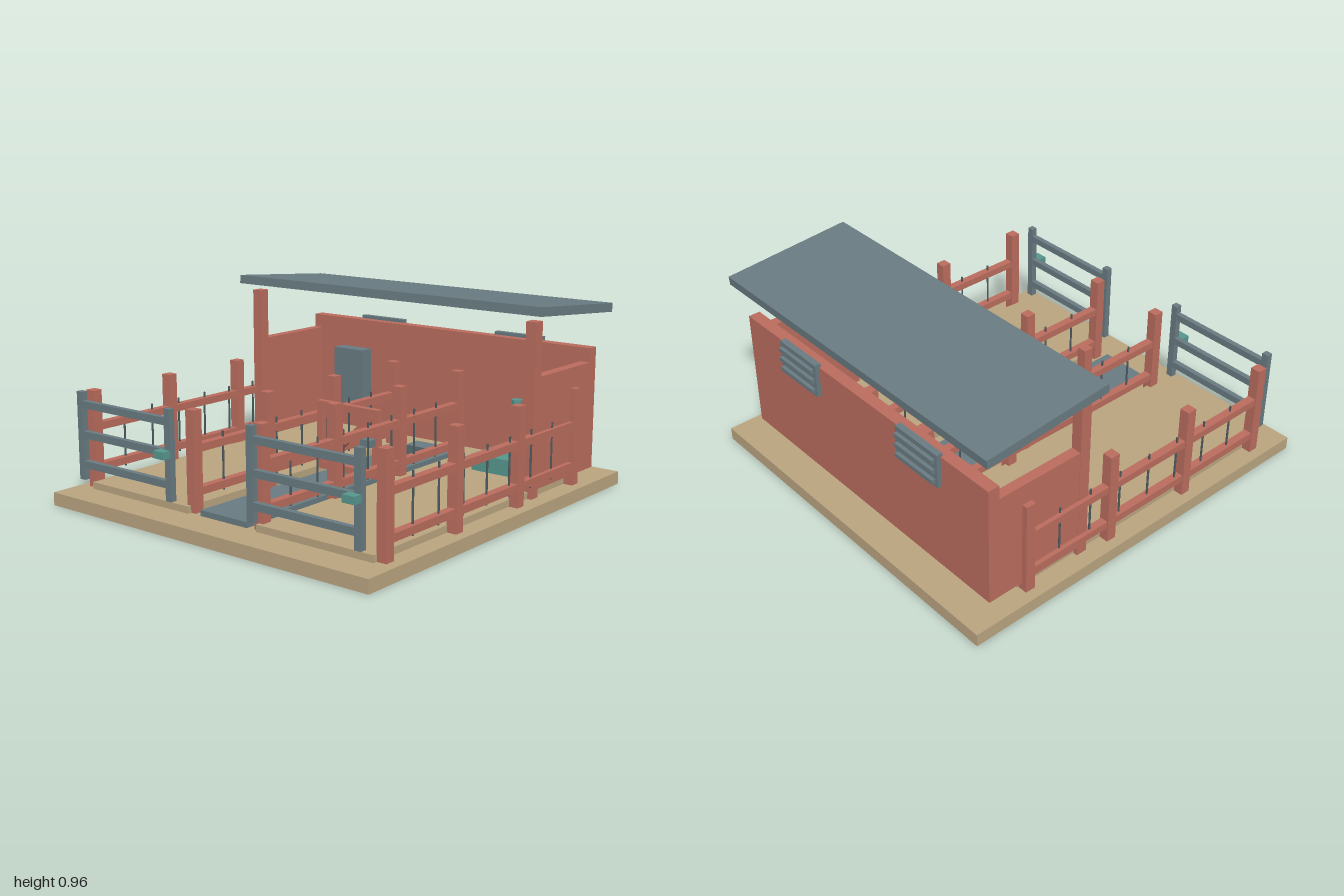
import * as THREE from 'three';

const mat = (color) => new THREE.MeshStandardMaterial({ color, flatShading: true });
const RED = mat(0xb96c5d), SLATE = mat(0x687a80), TAN = mat(0xb9a37f), TEAL = mat(0x55968c), DARK = mat(0x4a585c);

// Box given by its min and max on each axis
function box(parent, name, material, [x0, x1], [y0, y1], [z0, z1]) {
  const mesh = new THREE.Mesh(new THREE.BoxGeometry(x1 - x0, y1 - y0, z1 - z0), material);
  mesh.position.set((x0 + x1) / 2, (y0 + y1) / 2, (z0 + z1) / 2);
  mesh.name = name;
  parent.add(mesh);
  return mesh;
}

function group(parent, name) {
  const g = new THREE.Group();
  g.name = name;
  parent.add(g);
  return g;
}

function rod(parent, name, material, radius, x, [y0, y1], z, sides) {
  const mesh = new THREE.Mesh(new THREE.CylinderGeometry(radius, radius, y1 - y0, sides), material);
  mesh.position.set(x, (y0 + y1) / 2, z);
  mesh.name = name;
  parent.add(mesh);
}

// Fence running front to back: posts, two rails, thin upright bars
function addFence(parent, x) {
  const g = group(parent, 'fence');
  for (const z of [0.797, 0.312, -0.173, -0.658]) {
    box(g, 'fencePost', RED, [x - 0.025, x + 0.025], [0.06, 0.532], [z - 0.025, z + 0.025]);
  }
  for (const y of [0.157, 0.355]) {
    box(g, 'fenceRail', RED, [x - 0.02, x + 0.02], [y - 0.018, y + 0.018], [-0.658, 0.797]);
  }
  for (let i = 0; i < 7; i++) rod(g, 'fenceBar', DARK, 0.005, x, [0.125, 0.4], 0.615 - i * 0.181, 8);
}

// Front pen gate with three rails and a latch at its right-hand end
function addPenGate(parent, x0, x1) {
  const g = group(parent, 'penGate');
  for (const x of [x0, x1 - 0.034]) {
    box(g, 'gateStile', SLATE, [x, x + 0.034], [0.128, 0.547], [0.887, 0.918]);
  }
  for (const y of [0.203, 0.345, 0.488]) {
    box(g, 'gateRail', SLATE, [x0 + 0.02, x1 - 0.02], [y - 0.017, y + 0.017], [0.889, 0.916]);
  }
  box(g, 'gateLatch', TEAL, [x1 - 0.063, x1], [0.328, 0.362], [0.916, 0.96]);
}

// Narrow braced gate across the walkway
function addWalkwayGate(parent) {
  const g = group(parent, 'walkwayGate');
  const z = [-0.056, -0.022];
  for (const s of [-1, 1]) box(g, 'gateStile', RED, [s * 0.17 - 0.017, s * 0.17 + 0.017], [0.098, 0.435], z);
  for (const y of [0.098, 0.401]) box(g, 'gateRail', RED, [-0.18, 0.18], [y, y + 0.034], z);
  const brace = box(g, 'gateBrace', RED, [-0.2, 0.2], [0.252, 0.282], [-0.052, -0.026]);
  brace.rotation.z = Math.atan2(0.27, 0.306);
  brace.scale.x = 0.98;
  box(g, 'gateLatch', SLATE, [0.115, 0.175], [0.26, 0.296], [-0.024, 0.021]);
}

// Louvred vent on the outside of the back wall
function addVent(parent, x) {
  const g = group(parent, 'vent');
  box(g, 'ventPanel', SLATE, [x - 0.138, x + 0.138], [0.547, 0.716], [-0.886, -0.855]);
  for (const y of [0.578, 0.63, 0.682]) {
    box(g, 'ventSlat', SLATE, [x - 0.125, x + 0.125], [y - 0.01, y + 0.01], [-0.904, -0.88]);
  }
}

export function createModel() {
  const model = new THREE.Group();
  model.name = 'animalShelter';

  // Ground slab, pen floors and walkway
  box(model, 'base', TAN, [-0.937, 0.937], [0, 0.063], [-1, 1]);
  box(model, 'leftPenFloor', TAN, [0.205, 0.84], [0.06, 0.096], [-0.69, 0.843]);
  box(model, 'rightPenFloor', TAN, [-0.84, -0.205], [0.06, 0.096], [-0.69, 0.843]);
  box(model, 'walkway', SLATE, [-0.14, 0.14], [0.06, 0.09], [-0.79, 0.83]);
  box(model, 'drain', DARK, [-0.09, 0.09], [0.085, 0.104], [-0.64, -0.42]);

  // Shelter walls, front posts and tilted roof
  box(model, 'backWall', RED, [-0.86, 0.86], [0.102, 0.7], [-0.865, -0.807]);
  for (const s of [-1, 1]) {
    const wall = group(model, 'shelterSide');
    box(wall, 'sideWall', RED, [s * 0.835 - 0.025, s * 0.835 + 0.025], [0.102, 0.631], [-0.81, -0.33]);
    box(wall, 'roofPost', RED, [s * 0.835 - 0.027, s * 0.835 + 0.027], [0.06, 0.887], [-0.36, -0.305]);
    addVent(model, s * 0.427);
  }
  const roof = box(model, 'roof', SLATE, [-0.912, 0.912], [0.895, 0.938], [-0.915, -0.26]);
  roof.rotation.x = -0.082;

  // Fences and gates
  for (const x of [-0.862, -0.203, 0.203, 0.862]) addFence(model, x);
  addPenGate(model, -0.84, -0.23);
  addPenGate(model, 0.224, 0.834);
  addWalkwayGate(model);

  // Pen fittings: cabinet, trough and water pipe
  box(model, 'cabinet', SLATE, [-0.66, -0.467], [0.2, 0.547], [-0.807, -0.73]);
  box(model, 'trough', TEAL, [0.42, 0.697], [0.093, 0.175], [-0.69, -0.47]);
  rod(model, 'waterPipe', TEAL, 0.027, 0.56, [0.15, 0.436], -0.645, 10);

  return model;
}
